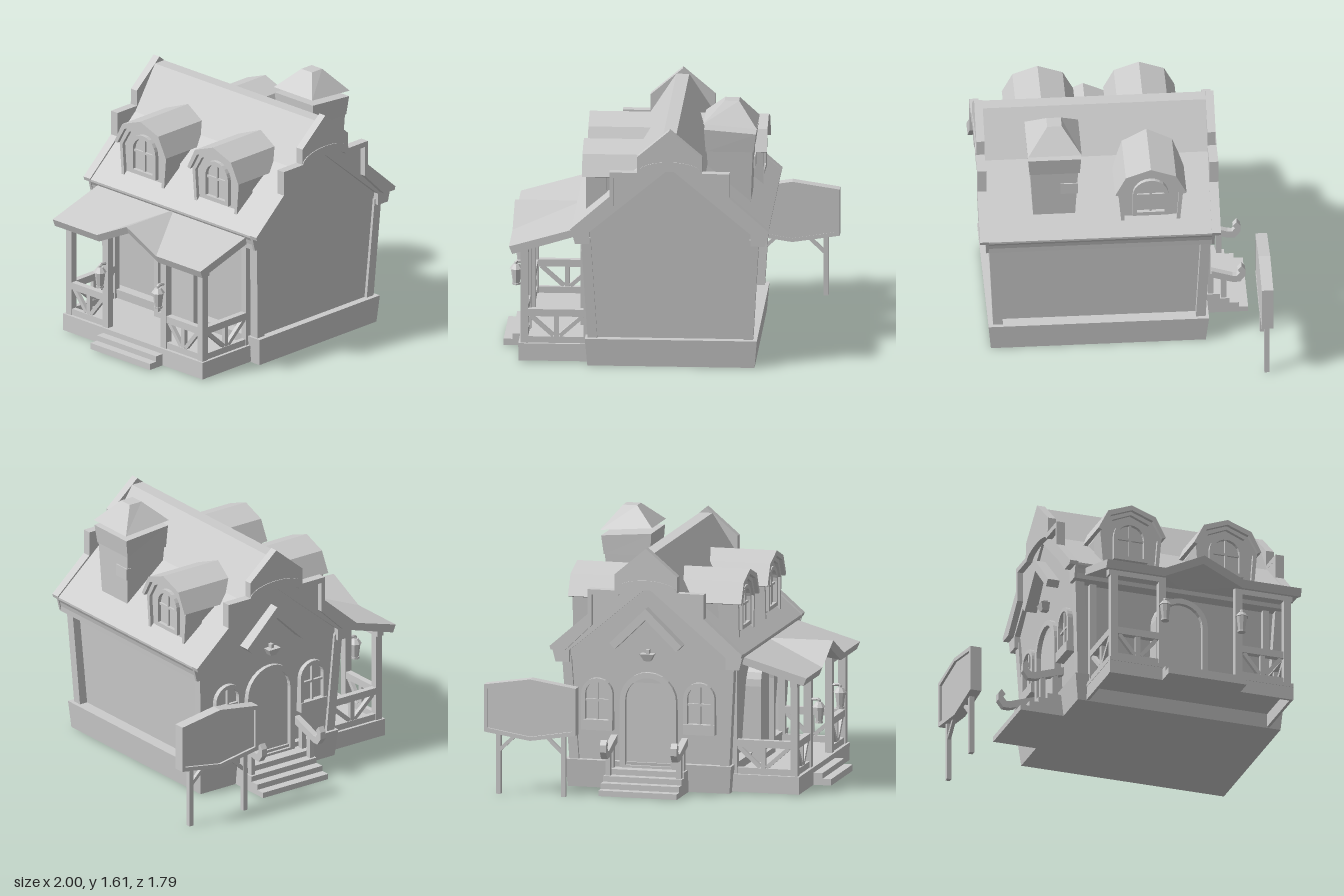
import * as THREE from 'three';

const mat = new THREE.MeshStandardMaterial({ color: 0xcccccc, flatShading: true, side: THREE.DoubleSide });

function add(parent, name, geo) {
  const m = new THREE.Mesh(geo, mat);
  m.name = name;
  parent.add(m);
  return m;
}
function group(parent, name, x = 0, y = 0, z = 0, turn = 0) {
  const g = new THREE.Group();
  g.name = name;
  g.position.set(x, y, z);
  g.rotation.y = turn;
  parent.add(g);
  return g;
}
function box(parent, name, x0, x1, y0, y1, z0, z1) {
  const g = new THREE.BoxGeometry(x1 - x0, y1 - y0, z1 - z0);
  g.translate((x0 + x1) / 2, (y0 + y1) / 2, (z0 + z1) / 2);
  return add(parent, name, g);
}
// Box whose bottom and top rectangles [x0, x1, z0, z1] differ
function frustum(parent, name, y0, a, y1, b) {
  const g = new THREE.BoxGeometry(1, 1, 1), p = g.attributes.position;
  for (let i = 0; i < p.count; i++) {
    const r = p.getY(i) > 0 ? b : a;
    p.setXYZ(i, p.getX(i) > 0 ? r[1] : r[0], p.getY(i) > 0 ? y1 : y0, p.getZ(i) > 0 ? r[3] : r[2]);
  }
  g.computeVertexNormals();
  return add(parent, name, g);
}
const toShape = pts => new THREE.Shape(pts.map(p => new THREE.Vector2(p[0], p[1])));
function extrude(parent, name, pts, z0, z1, hole) {
  const s = toShape(pts);
  if (hole) s.holes.push(toShape(hole));
  const g = new THREE.ExtrudeGeometry(s, { depth: z1 - z0, bevelEnabled: false });
  g.translate(0, 0, z0);
  return add(parent, name, g);
}
// Mirror a right half profile (bottom to top) across x = 0
const sym = half => [...half, ...half.filter(p => p[0] > 0).reverse().map(p => [-p[0], p[1]])];
const band = (outer, inner) => [...sym(outer), ...sym(inner).reverse()];
const arc = (r, h, y, n = 8) => Array.from({ length: n + 1 }, (_, i) => {
  const t = i / n * Math.PI / 2;
  return [i === n ? 0 : r * Math.cos(t), y + h * Math.sin(t)];
});
const arch = (w, y0, y1) => sym([[w / 2, y0], ...arc(w / 2, w / 2, y1 - w / 2, 6)]);

// Arched opening with frame, panel and optional glazing bars
function opening(parent, name, x, w, y0, y1, z0, z1, bars, t = 0.025) {
  const g = group(parent, name, x);
  extrude(g, 'frame', arch(w, y0, y1), z0, z1, arch(w - 2 * t, y0 + t, y1 - t));
  extrude(g, 'panel', arch(w - 2 * t, y0 + t, y1 - t), z0, z1 - 0.03);
  if (bars) {
    const ym = y0 + (y1 - y0) * 0.55;
    box(g, 'uprightBar', -0.007, 0.007, y0 + t, y1 - t, z0, z1 - 0.012);
    box(g, 'crossBar', -w / 2 + t, w / 2 - t, ym - 0.007, ym + 0.007, z0, z1 - 0.012);
  }
}
function strut(parent, name, x0, y0, x1, y1, t) {
  const g = new THREE.BoxGeometry(Math.hypot(x1 - x0, y1 - y0), t, t);
  g.rotateZ(Math.atan2(y1 - y0, x1 - x0));
  g.translate((x0 + x1) / 2, (y0 + y1) / 2, 0);
  add(parent, name, g);
}
// Railing panel along local x with V bracing
function railing(parent, x, z, len, turn) {
  const g = group(parent, 'railing', x, 0, z, turn), h = len / 2;
  box(g, 'topRail', -h, h, 0.285, 0.33, -0.02, 0.02);
  box(g, 'bottomRail', -h, h, 0.115, 0.155, -0.015, 0.015);
  box(g, 'centrePost', -0.015, 0.015, 0.15, 0.29, -0.012, 0.012);
  for (const s of [-1, 1]) strut(g, 'brace', s * (h - 0.02), 0.285, s * 0.02, 0.16, 0.025);
}
function lantern(parent, x, y, z) {
  const g = group(parent, 'lantern', x, y, z);
  add(g, 'body', new THREE.CylinderGeometry(0.034, 0.022, 0.09, 8)).position.y = -0.085;
  add(g, 'lid', new THREE.CylinderGeometry(0.02, 0.042, 0.03, 8)).position.y = -0.025;
  add(g, 'foot', new THREE.CylinderGeometry(0.026, 0.026, 0.012, 8)).position.y = -0.136;
  // Bent arm reaching back to the post
  const bend = new THREE.CatmullRomCurve3([[-0.02, 0], [0.005, 0], [0.006, -0.03], [0.0, -0.06]].map(a => new THREE.Vector3(0, a[0], a[1])));
  add(g, 'arm', new THREE.TubeGeometry(bend, 8, 0.01, 6));
}

function buildHouse(root) {
  const house = group(root, 'house', 0.05, 0, 0.15);
  frustum(house, 'foundation', 0, [-0.51, 0.52, -0.655, 0.67], 0.173, [-0.525, 0.535, -0.675, 0.685]);
  // Walls lean outwards with height
  const walls = extrude(house, 'walls', sym([[0.455, 0.17], [0.5, 0.86], [0, 1.28]]), -1, 1).geometry;
  const p = walls.attributes.position;
  for (let i = 0; i < p.count; i++) p.setZ(i, p.getZ(i) * (0.635 + (p.getY(i) - 0.17) * 0.05));
  walls.computeVertexNormals();
  for (const sx of [-1, 1]) for (const sz of [-1, 1]) {
    const r = (x0, x1, z0, z1) => [Math.min(sx * x0, sx * x1), Math.max(sx * x0, sx * x1), Math.min(sz * z0, sz * z1), Math.max(sz * z0, sz * z1)];
    frustum(house, 'cornerPost', 0.17, r(0.45, 0.51, 0.595, 0.655), 0.82, r(0.49, 0.548, 0.625, 0.685));
  }
  // Roof shell and the curved boxing below its eaves
  const under = [[0.498, 0.785], [0.498, 0.86], [0, 1.275]];
  const eave = [[0.585, 0.785], [0.588, 0.82], [0.595, 0.848], [0.606, 0.868]];
  extrude(house, 'roof', band([...eave, [0.607, 0.882], [0.215, 1.22], [0.04, 1.49]], under), -0.692, 0.692);
  // Stepped gable with an arched trim at each end
  const peak = [[0.606, 0.866], [0.612, 0.888], [0.37, 1.1], [0.37, 1.255], [0.2, 1.255], [0.2, 1.355], [0, 1.525]];
  const trim = [...peak.slice(0, 4), ...arc(0.2, 0.07, 1.255)];
  const inner = [[0.515, 0.866], [0.345, 1.03], [0.345, 1.222], [0.18, 1.222], ...arc(0.175, 0.043, 1.222).slice(1)];
  for (const turn of [0, Math.PI]) {
    const end = group(house, 'gable', 0, 0, 0, turn);
    extrude(end, 'gablePanel', band([eave[0], ...peak], under), 0.688, 0.705);
    extrude(end, 'parapet', band(peak, inner), 0.687, 0.738);
    extrude(end, 'archTrim', band(trim, inner), 0.687, 0.743);
  }
}

function buildDormer(root, side, z) {
  const g = group(root, 'dormer', 0.05, 0, z, side * Math.PI / 2);
  extrude(g, 'dormerWall', sym([[0.165, 0.95], [0.19, 1.16], [0.14, 1.27], [0, 1.33]]), 0.1, 0.505);
  extrude(g, 'dormerRoof', band([[0.22, 1.165], [0.155, 1.293], [0, 1.35]], [[0.198, 1.157], [0.137, 1.265], [0, 1.318]]), 0.1, 0.552);
  extrude(g, 'dormerTrim', band([[0.182, 0.95], [0.2, 1.16], [0.137, 1.27], [0, 1.32]], [[0.16, 0.95], [0.175, 1.15], [0.118, 1.245], [0, 1.295]]), 0.4, 0.528);
  opening(g, 'dormerWindow', 0, 0.22, 0.985, 1.25, 0.45, 0.53, true);
}

function buildChimney(root) {
  const g = group(root, 'chimney', 0.405, 0, 0.425);
  frustum(g, 'shaft', 0.95, [-0.12, 0.125, -0.125, 0.13], 1.32, [-0.145, 0.14, -0.145, 0.15]);
  const crown = frustum(g, 'crown', 1.31, [-0.15, 0.145, -0.155, 0.155], 1.44, [-0.16, 0.16, -0.162, 0.165]);
  box(g, 'brick', 0.11, 0.145, 1.155, 1.23, -0.145, -0.035);
  const cap = frustum(g, 'cap', 1.475, [-0.165, 0.165, -0.165, 0.165], 1.605, [-0.04, 0.05, -0.05, 0.04]);
  // Slightly crooked top
  for (const m of [crown, cap]) {
    const p = m.geometry.attributes.position;
    for (let i = 0; i < p.count; i++) if (p.getY(i) > 1.4 && p.getY(i) < 1.6) p.setY(i, p.getY(i) - p.getX(i) * 0.08);
    m.geometry.computeVertexNormals();
  }
}

function buildPorch(root) {
  const g = group(root, 'sidePorch', 0, 0, 0.15, -Math.PI / 2);
  // Deck on a thin skirt, open below
  box(g, 'porchDeck', -0.6, 0.6, 0.09, 0.115, 0.4, 0.89);
  box(g, 'porchSkirt', -0.6, 0.6, 0.005, 0.1, 0.87, 0.888);
  box(g, 'upperStep', -0.255, 0.255, 0.04, 0.08, 0.88, 0.945);
  box(g, 'lowerStep', -0.255, 0.255, 0.005, 0.045, 0.88, 1);
  for (const s of [-1, 1]) {
    box(g, 'porchSkirt', s * 0.589 - 0.009, s * 0.589 + 0.009, 0.005, 0.1, 0.4, 0.88);
    for (const x of [0.565, 0.25]) box(g, 'porchPost', s * x - 0.023, s * x + 0.023, 0.11, 0.72, 0.83, 0.876);
    box(g, 'wallPost', s * 0.565 - 0.02, s * 0.565 + 0.02, 0.11, 0.78, 0.45, 0.49);
    box(g, 'eaveBeam', Math.min(s * 0.23, s * 0.6), Math.max(s * 0.23, s * 0.6), 0.675, 0.72, 0.83, 0.876);
    railing(g, s * 0.4075, 0.853, 0.28, 0);
    railing(g, s * 0.565, 0.655, 0.36, Math.PI / 2);
    lantern(g, s * 0.25, 0.535, 0.922);
  }
  opening(g, 'sideDoor', 0, 0.34, 0.115, 0.755, 0.38, 0.53, false, 0.035);
  // Lean-to roof with a small gable whose valleys meet at the wall
  const roof = new THREE.BoxGeometry(4, 1, 1, 4, 1, 1), p = roof.attributes.position;
  const xs = [-0.635, -0.255, 0, 0.255, 0.635];
  for (let i = 0; i < p.count; i++) {
    const k = Math.round(p.getX(i)) + 2, front = p.getZ(i) > 0, low = p.getY(i) < 0;
    const x = front || k % 4 === 0 ? xs[k] : 0;
    const y = front ? (k === 2 ? 0.865 : 0.742) : 0.862;
    p.setXYZ(i, x, y - (low ? 0.048 : 0), front ? (low ? 0.925 : 0.945) : 0.53);
  }
  roof.computeVertexNormals();
  add(g, 'porchRoof', roof);
}

function buildEntrance(root) {
  const g = group(root, 'entrance', 0.05, 0, 0, Math.PI);
  opening(g, 'frontDoor', 0, 0.36, 0.12, 0.74, 0.44, 0.54, false, 0.035);
  for (const s of [-1, 1]) {
    opening(g, 'frontWindow', s * 0.325, 0.2, 0.38, 0.69, 0.44, 0.54, true);
    box(g, 'windowBox', s * 0.325 - 0.1, s * 0.325 + 0.1, 0.365, 0.43, 0.47, 0.548);
  }
  // Chevron hood over the door, with a small lamp
  extrude(g, 'doorHood', band([[0.23, 0.925], [0, 1.15]], [[0.195, 0.89], [0, 1.08]]), 0.5, 0.6);
  frustum(g, 'hoodLamp', 0.815, [-0.02, 0.02, 0.51, 0.56], 0.86, [-0.045, 0.045, 0.49, 0.575]);
  box(g, 'hoodLampArm', -0.01, 0.01, 0.855, 0.885, 0.5, 0.55);
  for (let i = 0; i < 4; i++) box(g, 'step', -0.25, 0.25, 0, 0.035 * (i + 1), 0.45, 0.785 - i * 0.058);
  // Handrails with a curled end
  const rail = [[0.5, 0.285], [0.69, 0.225], [0.735, 0.225], [0.768, 0.27], [0.768, 0.315], [0.745, 0.345], [0.72, 0.315], [0.735, 0.295], [0.715, 0.27], [0.69, 0.272], [0.5, 0.335]];
  for (const s of [-1, 1]) {
    const side = group(g, 'handrail', s * 0.225, 0, 0, -Math.PI / 2);
    extrude(side, 'rail', rail, -0.02, 0.02);
    for (const z of [0.555, 0.635]) box(side, 'handrailPost', z - 0.017, z + 0.017, 0.07, 0.275, -0.015, 0.015);
  }
}

function buildSign(root) {
  const g = group(root, 'signBoard', 0.7075, 0, -0.857, Math.PI);
  const hex = (w, d) => sym([[0, 0.345 + d], [w, 0.39 + d], [w, 0.685 - d], [0, 0.73 - d]]);
  extrude(g, 'board', hex(0.28, 0.01), -0.034, 0.02);
  extrude(g, 'boardFrame', hex(0.2925, 0), -0.036, 0.036, hex(0.27, 0.024));
  for (const s of [-1, 1]) {
    box(g, 'signPost', s * 0.207 - 0.015, s * 0.207 + 0.015, 0, 0.4, -0.015, 0.015);
    strut(g, 'signBrace', s * 0.1, 0.37, s * 0.2, 0.275, 0.022);
  }
}

export function createModel() {
  const root = new THREE.Group();
  root.name = 'cottage';
  buildHouse(root);
  buildDormer(root, 1, -0.165);
  buildDormer(root, -1, -0.165);
  buildDormer(root, -1, 0.46);
  buildChimney(root);
  buildPorch(root);
  buildEntrance(root);
  buildSign(root);
  return root;
}
